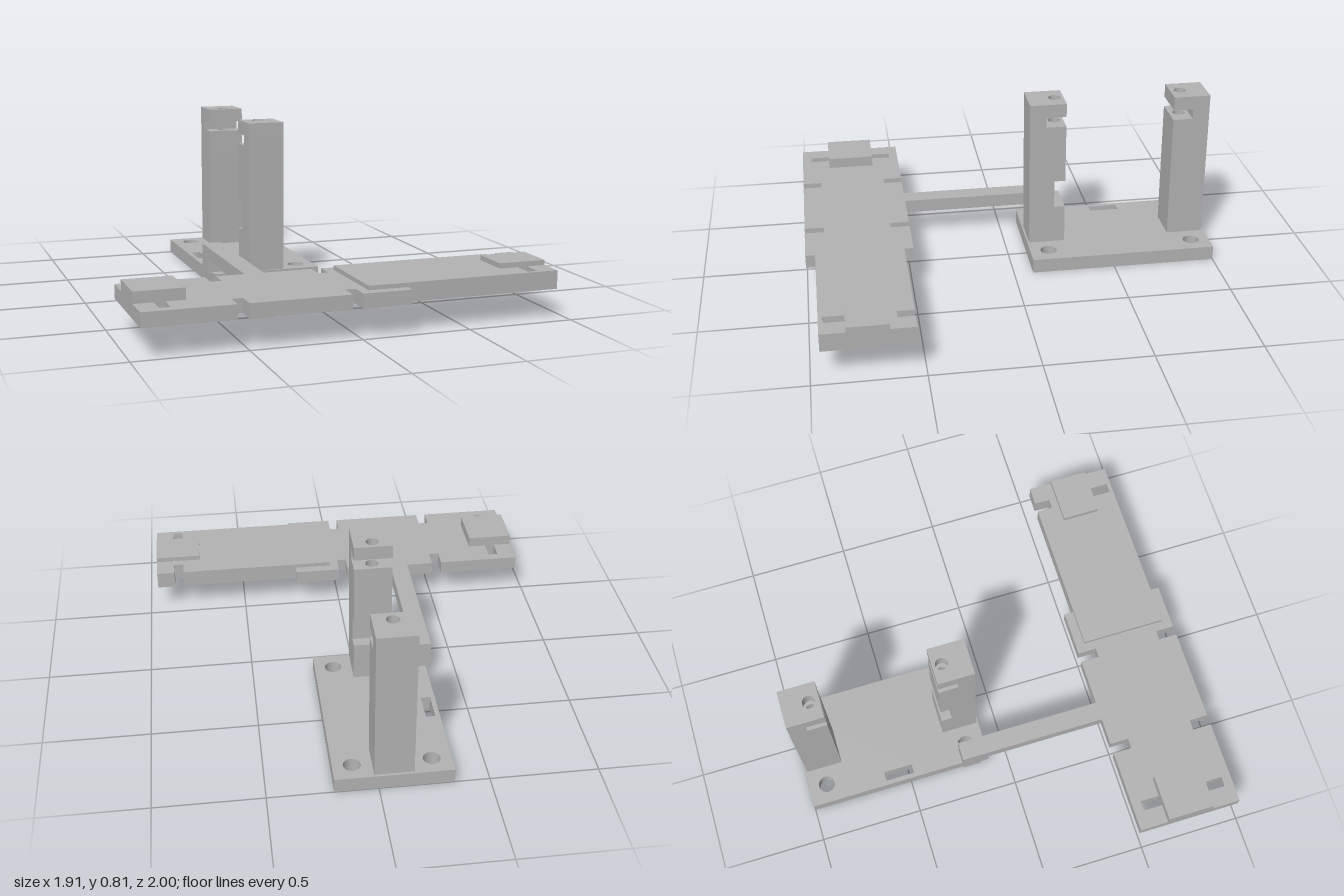
import * as THREE from 'three';

const grey = new THREE.MeshStandardMaterial({ color: 0xb3b3b3 });
grey.name = 'grey plastic';

// Corners of a rectangle in plan (x, z)
const rect = (x0, x1, z0, z1) => [[x0, z0], [x1, z0], [x1, z1], [x0, z1]];
const toPoints = (list) => list.map(([x, z]) => new THREE.Vector2(x, z));
const polyHole = (list) => new THREE.Path(toPoints(list));
const roundHole = (x, z, r) => new THREE.Path().absarc(x, z, r, 0, Math.PI * 2, true);

// Flat slab: plan outline in (x, z) raised from y0 to y1
function slab(name, outline, y0, y1, holes = []) {
  const shape = new THREE.Shape(toPoints(outline));
  shape.holes.push(...holes);
  const geometry = new THREE.ExtrudeGeometry(shape, { depth: y1 - y0, bevelEnabled: false, curveSegments: 16 });
  geometry.rotateX(Math.PI / 2).translate(0, y1, 0);
  const mesh = new THREE.Mesh(geometry, grey);
  mesh.name = name;
  return mesh;
}

// Post stacked from slabs [y0, y1, z0, z1, bored]
function post(name, holeZ, layers) {
  const group = new THREE.Group();
  group.name = name;
  for (const [y0, y1, z0, z1, bored] of layers) {
    const holes = bored ? [roundHole(-0.07, holeZ, 0.03)] : [];
    group.add(slab('postSection', rect(-0.16, 0.02, z0, z1), y0, y1, holes));
  }
  return group;
}

export function createModel() {
  const model = new THREE.Group();
  model.name = 'bracketAssembly';

  // Base plate with four screw holes and a slot
  const screwHoles = [];
  for (const x of [-0.25, 0.11]) for (const z of [-0.91, -0.185]) screwHoles.push(roundHole(x, z, 0.04));
  model.add(slab('basePlate', rect(-0.342, 0.2, -1, -0.093), 0, 0.07,
    [...screwHoles, polyHole(rect(-0.32, -0.275, -0.62, -0.477))]));

  // Notched posts with blind bores from the top
  model.add(post('frontPost', -0.235, [
    [0.07, 0.26, -0.28, -0.102, false],
    [0.26, 0.40, -0.226, -0.102, false],
    [0.40, 0.55, -0.28, -0.102, false],
    [0.55, 0.69, -0.28, -0.102, true],
    [0.69, 0.74, -0.183, -0.102, false],
    [0.74, 0.807, -0.28, -0.102, true],
  ]));
  model.add(post('rearPost', -0.86, [
    [0.07, 0.55, -0.988, -0.81, false],
    [0.55, 0.69, -0.988, -0.81, true],
    [0.69, 0.74, -0.988, -0.907, false],
    [0.74, 0.807, -0.988, -0.81, true],
  ]));

  // Arm with a downward hook
  model.add(slab('arm', rect(-0.366, -0.275, -0.23, 0.49), 0.135, 0.2));
  model.add(slab('armHook', rect(-0.366, -0.275, -0.23, -0.14), 0.062, 0.135));

  // Wide plate with edge notches and two slots
  const outline = [[-0.955, 0.49]];
  const notches = [[-0.55, -0.5], [-0.047, 0]];
  for (const [a, b] of notches) outline.push([a, 0.49], [a, 0.582], [b, 0.582], [b, 0.49]);
  outline.push([0.225, 0.49], [0.225, 1]);
  for (const [a, b] of [...notches].reverse()) outline.push([b, 1], [b, 0.907], [a, 0.907], [a, 1]);
  outline.push([-0.955, 1]);
  model.add(slab('widePlate', outline, 0.135, 0.2, [
    polyHole(rect(-0.867, -0.819, 0.535, 0.63)),
    polyHole(rect(-0.867, -0.819, 0.86, 0.955)),
  ]));
  model.add(slab('widePlatePad', rect(-0.955, -0.73, 0.63, 0.86), 0.2, 0.252));

  // Narrow plate: body plus a top layer lapping over the wide plate
  const narrow = (x0) => [[x0, 0.535], [0.815, 0.535], [0.815, 0.612], [0.863, 0.612],
    [0.863, 0.535], [0.953, 0.535], [0.953, 0.953], [x0, 0.953]];
  const narrowSlot = () => polyHole(rect(0.815, 0.863, 0.838, 0.933));
  model.add(slab('narrowPlateBody', narrow(0.225), 0.135, 0.2, [narrowSlot()]));
  model.add(slab('narrowPlateTop', narrow(0.043), 0.2, 0.22, [narrowSlot()]));
  model.add(slab('narrowPlatePad', rect(0.725, 0.953, 0.65, 0.838), 0.22, 0.244));

  return model;
}
